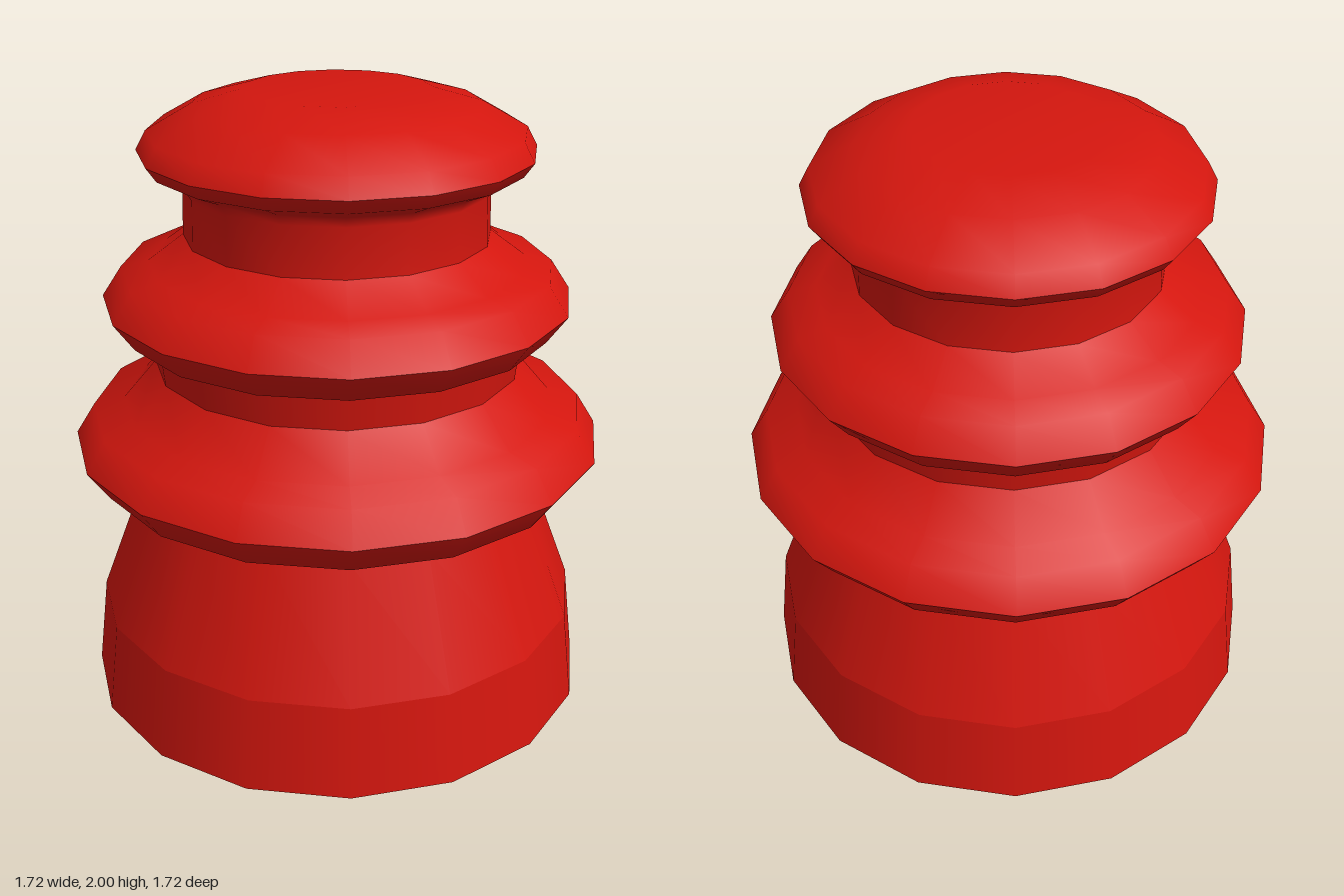
import * as THREE from 'three';

const SIDES = 16;

// Each part is a list of smooth profile runs [radius, height], bottom to top;
// a new run starts wherever the surface has a sharp edge.
const PARTS = {
  base: [
    [[0, 0], [0.835, 0]],
    [[0.835, 0], [0.8, 0.3]],
    [[0.8, 0.3], [0.645, 0.715]],
  ],
  lowerRing: [
    [[0.645, 0.715], [0.79, 0.77], [0.862, 0.87]],
    [[0.862, 0.87], [0.8, 0.97], [0.7, 0.993], [0.592, 1.12]],
  ],
  lowerNeck: [[[0.592, 1.12], [0.605, 1.23]]],
  middleRing: [
    [[0.605, 1.23], [0.685, 1.255], [0.75, 1.345]],
    [[0.75, 1.345], [0.688, 1.44], [0.6, 1.46], [0.487, 1.545]],
  ],
  upperNeck: [[[0.487, 1.545], [0.483, 1.7], [0.505, 1.735], [0.59, 1.77], [0.622, 1.815]]],
  cap: [[[0.622, 1.815], [0.59, 1.875], [0.45, 1.955], [0.29, 2], [0, 2]]],
};

export function createModel() {
  const model = new THREE.Group();
  model.name = 'turnedPiece';
  const material = new THREE.MeshStandardMaterial({ color: 0xd4160e });

  for (const [name, runs] of Object.entries(PARTS)) {
    const part = new THREE.Group();
    part.name = name;
    for (const run of runs) {
      const profile = run.map(([r, y]) => new THREE.Vector2(r, y));
      const mesh = new THREE.Mesh(new THREE.LatheGeometry(profile, SIDES), material);
      mesh.name = `${name}Surface`;
      part.add(mesh);
    }
    model.add(part);
  }
  return model;
}
